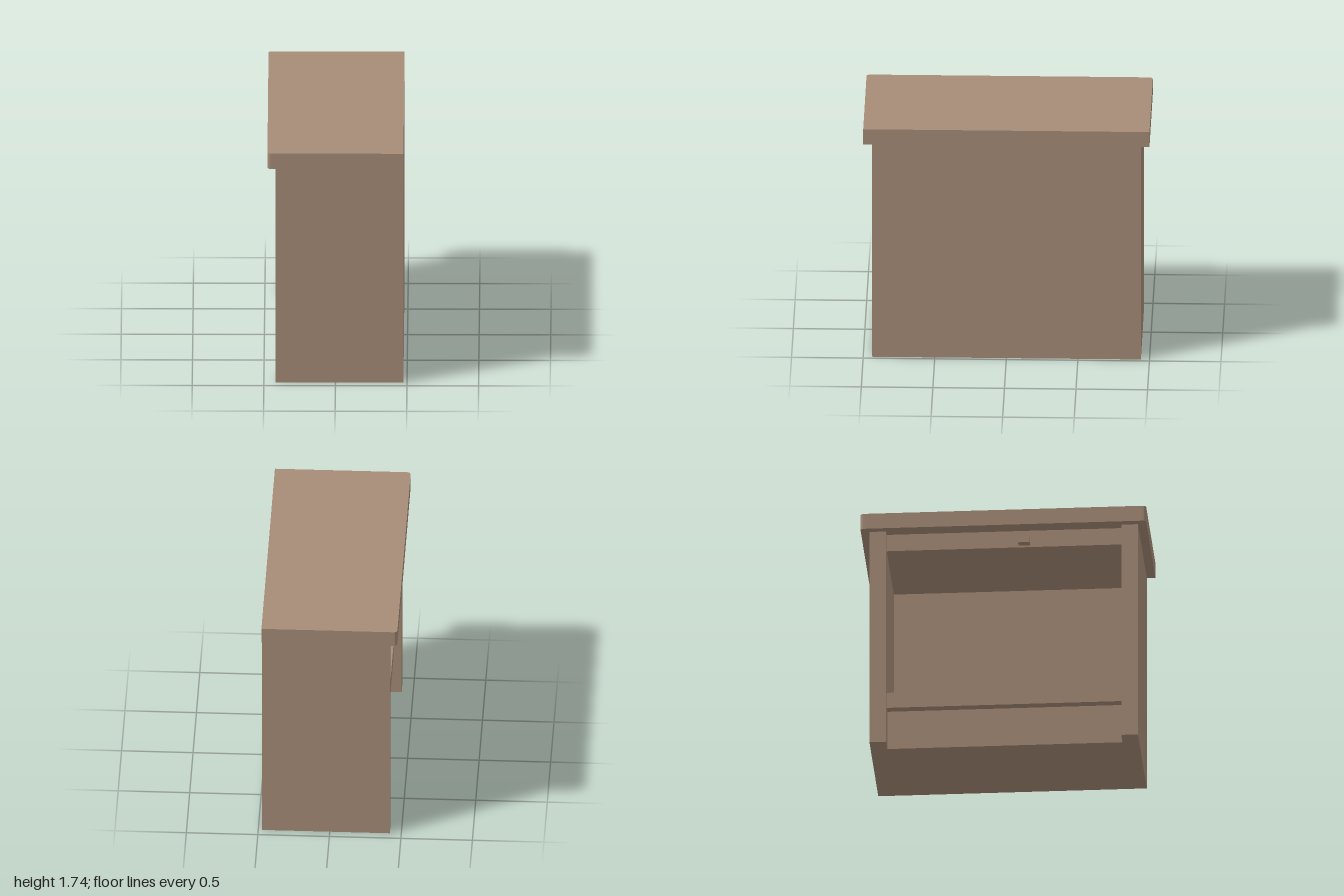
import * as THREE from 'three';

export function createModel() {
  const group = new THREE.Group();
  const wood = new THREE.MeshStandardMaterial({ color: 0xa68c78 });
  wood.name = 'brown wood';

  const add = (name, geometry) => {
    const mesh = new THREE.Mesh(geometry, wood);
    mesh.name = name;
    group.add(mesh);
    return mesh;
  };
  // Box given by its extents on each axis
  const box = (name, x0, x1, y0, y1, z0, z1) => {
    const mesh = add(name, new THREE.BoxGeometry(x1 - x0, y1 - y0, z1 - z0));
    mesh.position.set((x0 + x1) / 2, (y0 + y1) / 2, (z0 + z1) / 2);
    return mesh;
  };

  const front = -0.42, back = 0.475, inner = 0.355, recess = -0.363;
  const topY = 1.62, zOut = 0.94, zIn = 0.823;

  // Carcass: two thick sides and a back panel; the open side faces -x
  box('rightSidePanel', front, back, 0, topY, zIn, zOut);
  box('leftSidePanel', front, back, 0, topY, -zOut, -zIn);
  box('backPanel', inner, back, 0, topY, -zIn, zIn);

  // Solid plinth, shelf above it, and the board under the counter top
  box('plinth', -0.298, inner, 0, 0.287, -zIn, zIn);
  box('shelf', recess, inner, 0.287, 0.403, -zIn, zIn);
  box('upperBoard', recess, inner, 1.494, topY, -zIn, zIn);

  // Small pull under the overhang
  box('pull', front, recess, 1.507, 1.56, 0.1, 0.18);

  // Counter top with two rounded corners on the open side
  const r = 0.028, x0 = -0.475;
  const outline = new THREE.Shape();
  outline.moveTo(back, -1);
  outline.lineTo(back, 1);
  outline.lineTo(x0 + r, 1);
  outline.quadraticCurveTo(x0, 1, x0, 1 - r);
  outline.lineTo(x0, -1 + r);
  outline.quadraticCurveTo(x0, -1, x0 + r, -1);
  outline.closePath();
  const slab = new THREE.ExtrudeGeometry(outline, { depth: 0.115, bevelEnabled: false, curveSegments: 4 });
  slab.rotateX(-Math.PI / 2);
  add('counterTop', slab).position.y = topY;

  return group;
}
